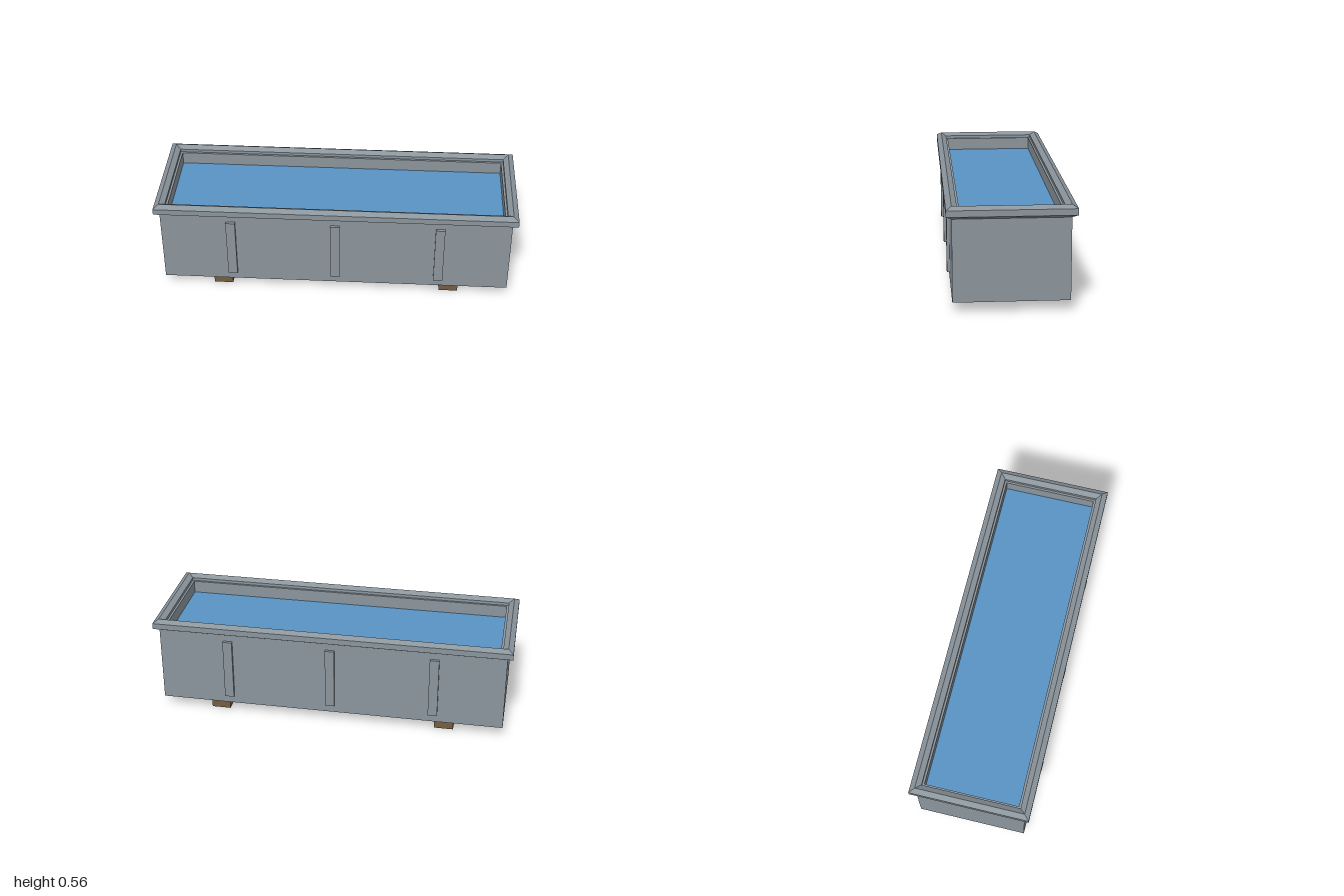
import * as THREE from 'three';

const HALF_X = 0.971, HALF_Z = 0.301; // outer faces of the tank walls
const WALL = 0.041;
const BASE = 0.058, WALL_TOP = 0.526;

// Hexagonal bar swept around a rectangle with mitred corners
function mitredHexFrame(halfX, halfZ, y, radius) {
  const corners = [[1, 1], [1, -1], [-1, -1], [-1, 1]];
  const point = (corner, side) => {
    const angle = side * Math.PI / 3;
    const out = Math.sin(angle) * radius;
    const [sx, sz] = corners[corner % 4];
    return [sx * (halfX + out), y + Math.cos(angle) * radius, sz * (halfZ + out)];
  };
  const positions = [];
  for (let c = 0; c < 4; c++) {
    for (let s = 0; s < 6; s++) {
      const a = point(c, s), b = point(c, s + 1);
      const d = point(c + 1, s), e = point(c + 1, s + 1);
      positions.push(...a, ...b, ...e, ...a, ...e, ...d);
    }
  }
  const geometry = new THREE.BufferGeometry();
  geometry.setAttribute('position', new THREE.Float32BufferAttribute(positions, 3));
  geometry.computeVertexNormals();
  return geometry;
}

// Rectangular ring extruded upwards
function wallRing() {
  const rect = (target, x, z) => target
    .moveTo(-x, -z).lineTo(x, -z).lineTo(x, z).lineTo(-x, z).closePath();
  const shape = rect(new THREE.Shape(), HALF_X, HALF_Z);
  shape.holes.push(rect(new THREE.Path(), HALF_X - WALL, HALF_Z - WALL));
  return new THREE.ExtrudeGeometry(shape, { depth: WALL_TOP - BASE, bevelEnabled: false })
    .rotateX(-Math.PI / 2).translate(0, BASE, 0);
}

export function createModel() {
  const metal = new THREE.MeshStandardMaterial({ color: 0x8b959c });
  metal.name = 'grey metal';
  const wood = new THREE.MeshStandardMaterial({ color: 0x745c40 });
  wood.name = 'brown wood';
  const blue = new THREE.MeshStandardMaterial({ color: 0x5a93c4, side: THREE.DoubleSide });
  blue.name = 'water blue';

  const model = new THREE.Group();
  model.name = 'waterTrough';
  const add = (name, geometry, material, x = 0, y = 0, z = 0) => {
    const mesh = new THREE.Mesh(geometry, material);
    mesh.name = name;
    mesh.position.set(x, y, z);
    model.add(mesh);
  };

  // Tank walls and rolled rim
  add('walls', wallRing(), metal);
  add('rim', mitredHexFrame(HALF_X, HALF_Z, WALL_TOP, 0.0335), metal);

  // Floor stops short of the end walls, leaving a slot at each end
  add('floor', new THREE.BoxGeometry(1.75, 0.06, 2 * (HALF_Z - WALL)), metal, 0, 0.09, 0);

  // Water surface
  const water = new THREE.PlaneGeometry(2 * (HALF_X - WALL), 2 * (HALF_Z - WALL)).rotateX(-Math.PI / 2);
  add('water', water, blue, 0, 0.455, 0);

  // Upright ribs on the long sides
  for (const side of [1, -1]) {
    for (const x of [-0.58, 0, 0.58]) {
      add('rib', new THREE.BoxGeometry(0.052, 0.35, 0.026), metal, x, 0.28, side * 0.304);
    }
  }

  // Wooden skids
  for (const side of [1, -1]) {
    add('skid', new THREE.BoxGeometry(0.107, 0.06, 0.548), wood, side * 0.643, 0.03, 0);
  }
  return model;
}
